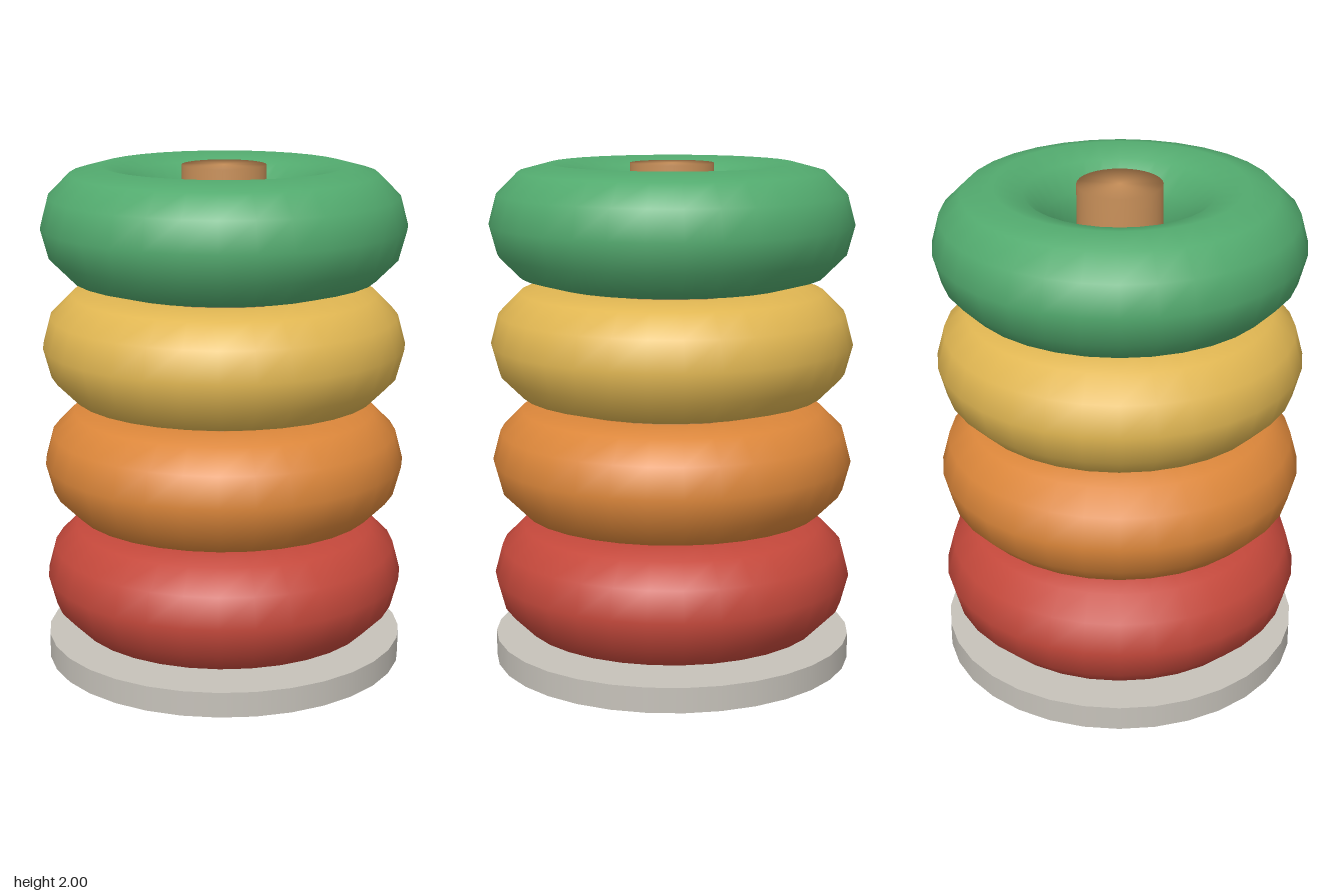
import * as THREE from 'three';
import { mergeVertices } from 'three/addons/utils/BufferGeometryUtils.js';

const OUTER = 0.72;
const TUBE = 0.235;
const SIDES = 32;

function material(name, color) {
  const m = new THREE.MeshStandardMaterial({ color });
  m.name = name;
  return m;
}

function addPart(group, name, geometry, mat, y) {
  const mesh = new THREE.Mesh(geometry, mat);
  mesh.name = name;
  mesh.position.y = y;
  group.add(mesh);
}

// Cylinder whose caps share softened normals with the side
function softCylinder(radius, height) {
  const g = new THREE.CylinderGeometry(radius, radius, height, SIDES);
  g.deleteAttribute('normal');
  g.deleteAttribute('uv');
  const soft = mergeVertices(g);
  soft.computeVertexNormals();
  return soft;
}

export function createModel() {
  const model = new THREE.Group();
  model.name = 'stackingRings';

  // Flat round foot
  addPart(model, 'base', new THREE.CylinderGeometry(OUTER, OUTER, 0.1, SIDES),
    material('warm grey', 0xc6c2ba), 0.05);

  // Peg running through all the rings
  addPart(model, 'peg', softCylinder(0.165, 1.998), material('wood', 0xc68e58), 1.001);

  // Four equal rings, bottom to top
  const ringGeometry = new THREE.TorusGeometry(OUTER - TUBE, TUBE, 12, SIDES).rotateX(Math.PI / 2);
  const colours = [['red', 0xc4483b], ['orange', 0xdb863a], ['yellow', 0xe0b652], ['green', 0x52aa6e]];
  colours.forEach(([name, hex], i) => {
    addPart(model, name + 'Ring', ringGeometry, material(name, hex), 0.35 + i * 0.4717);
  });

  return model;
}
